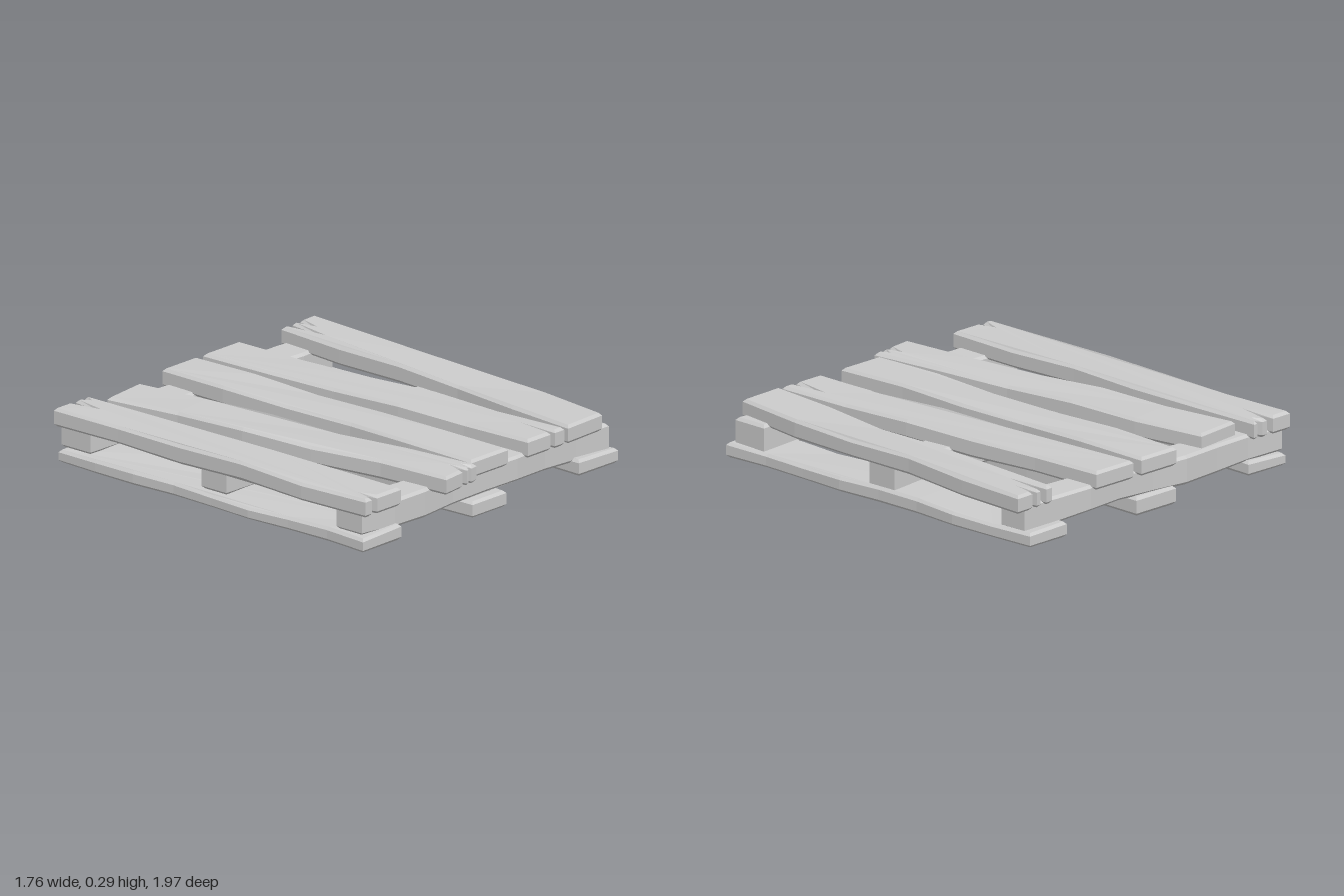
import * as THREE from 'three';

const material = new THREE.MeshStandardMaterial({ color: 0xcccccc, flatShading: true });
const BEVEL = 0.013;
const { lerp } = THREE.MathUtils;

// Bevelled board cut from an [x, z] outline between two heights; warp(x, z, t) bends it, t = 0 bottom, 1 top
function board(name, outline, y0, y1, warp) {
  const shape = new THREE.Shape(outline.map(([x, z]) => new THREE.Vector2(x, -z)));
  const geo = new THREE.ExtrudeGeometry(shape, {
    depth: y1 - y0 - 2 * BEVEL, bevelEnabled: true, bevelThickness: BEVEL,
    bevelSize: BEVEL, bevelOffset: -BEVEL, bevelSegments: 1,
  });
  geo.rotateX(-Math.PI / 2).translate(0, y0 + BEVEL, 0);
  const p = geo.attributes.position;
  for (let i = 0; i < p.count; i++) {
    const t = (p.getY(i) - y0) / (y1 - y0);
    p.setY(i, p.getY(i) + warp(p.getX(i), p.getZ(i), t));
  }
  geo.computeVertexNormals();
  const mesh = new THREE.Mesh(geo, material);
  mesh.name = name;
  return mesh;
}

// Plank outline: x of both edges at even stations, skewed ends, V-shaped cracks [x, half width, depth]
function plankOutline({ z0, z1, skew = 0, left, right, front = [], back = [] }) {
  const last = left.length - 1;
  const zAt = (i, x) => lerp(z0, z1, i / last) + skew * (x - (left[i] + right[i]) / 2);
  const edge = (xs) => xs.map((x, i) => [x, zAt(i, x)]);
  const cracks = (list, i, inward) => list.flatMap(([x, half, depth]) => [
    [x - half, zAt(i, x - half)],
    [x, zAt(i, x) + inward * depth],
    [x + half, zAt(i, x + half)],
  ]);
  return [
    ...edge(left), ...cracks(front, last, -1),
    ...edge(right).reverse(), ...cracks(back, 0, 1).reverse(),
  ];
}

// Straight bar outline with gently uneven long edges, as [along, across] pairs
function unevenOutline(start, end, centre, half, wobble, phase) {
  const edge = (side) => Array.from({ length: 9 }, (_, i) => [
    lerp(start, end, i / 8),
    centre + side * half + wobble * Math.sin(i * 1.9 + phase + side),
  ]);
  return [...edge(-1), ...edge(1).reverse()];
}

// Top planks, right to left, edges listed back to front
const planks = [
  {
    z0: -.975, z1: .922,
    left: [-.87, -.862, -.867, -.87, -.885, -.87],
    right: [-.64, -.635, -.633, -.637, -.63, -.632],
    front: [[-.808, .018, .08]],
    back: [[-.742, .02, .155], [-.677, .017, .04]],
  },
  {
    z0: -.913, z1: .97, skew: -.12,
    left: [-.595, -.54, -.52, -.475, -.42, -.395],
    right: [-.35, -.3, -.272, -.247, -.2, -.16],
    front: [[-.252, .017, .08], [-.21, .012, .04]],
  },
  {
    z0: -.98, z1: .91,
    left: [-.135, -.147, -.137, -.127, -.147, -.145],
    right: [.09, .093, .085, .097, .09, .1],
  },
  {
    z0: -.98, z1: .91,
    left: [.14, .157, .18, .198, .225, .235],
    right: [.38, .392, .42, .452, .462, .48],
    front: [[.403, .014, .18]],
  },
  {
    z0: -.97, z1: .91, skew: -.04,
    left: [.65, .625, .608, .588, .535, .5],
    right: [.88, .855, .82, .81, .79, .74],
    back: [[.708, .02, .2], [.767, .015, .1]],
  },
];

const crossbars = [
  { name: 'crossbarBack', z: -.867, half: .08 },
  { name: 'crossbarMiddle', z: -.032, half: .08 },
  { name: 'crossbarFront', z: .8, half: .082 },
];

// Ground runners; roll tilts the top sideways
const runners = [
  { name: 'runnerRight', x: -.74, half: .125, z0: -.96, z1: .91, y0: .022, y1: .09, roll: .05 },
  { name: 'runnerMiddle', x: -.025, half: .12, z0: -.96, z1: .91, y0: 0, y1: .083, roll: 0 },
  { name: 'runnerLeft', x: .7, half: .125, z0: -.99, z1: .92, y0: .022, y1: .095, roll: -.03 },
];

export function createModel() {
  const group = new THREE.Group();
  group.name = 'pallet';

  // Planks sag and rise a little between their ends
  planks.forEach((p, i) => group.add(board(`topPlank${i + 1}`, plankOutline(p), .192, .28,
    (x, z, t) => Math.max(0, 1 - z * z) * .007 * Math.sin(z * 6 + i * 2.1 + t))));

  // Crossbars run along x with a wavy underside
  crossbars.forEach(({ name, z, half }, i) => group.add(board(name,
    unevenOutline(-.84, .8, z, half, .01, i * 2), .083, .212,
    (x, _, t) => (1 - t) * .009 * Math.sin(x * 5.5 + i * .4))));

  // Runners lie along z
  for (const r of runners) {
    const outline = unevenOutline(r.z0, r.z1, r.x, r.half, .009, r.x * 5).map(([z, x]) => [x, z]);
    group.add(board(r.name, outline, r.y0, r.y1,
      (x, z, t) => t * (r.roll * (x - r.x) + .006 * Math.sin(z * 5 + r.x * 3))));
  }
  return group;
}
